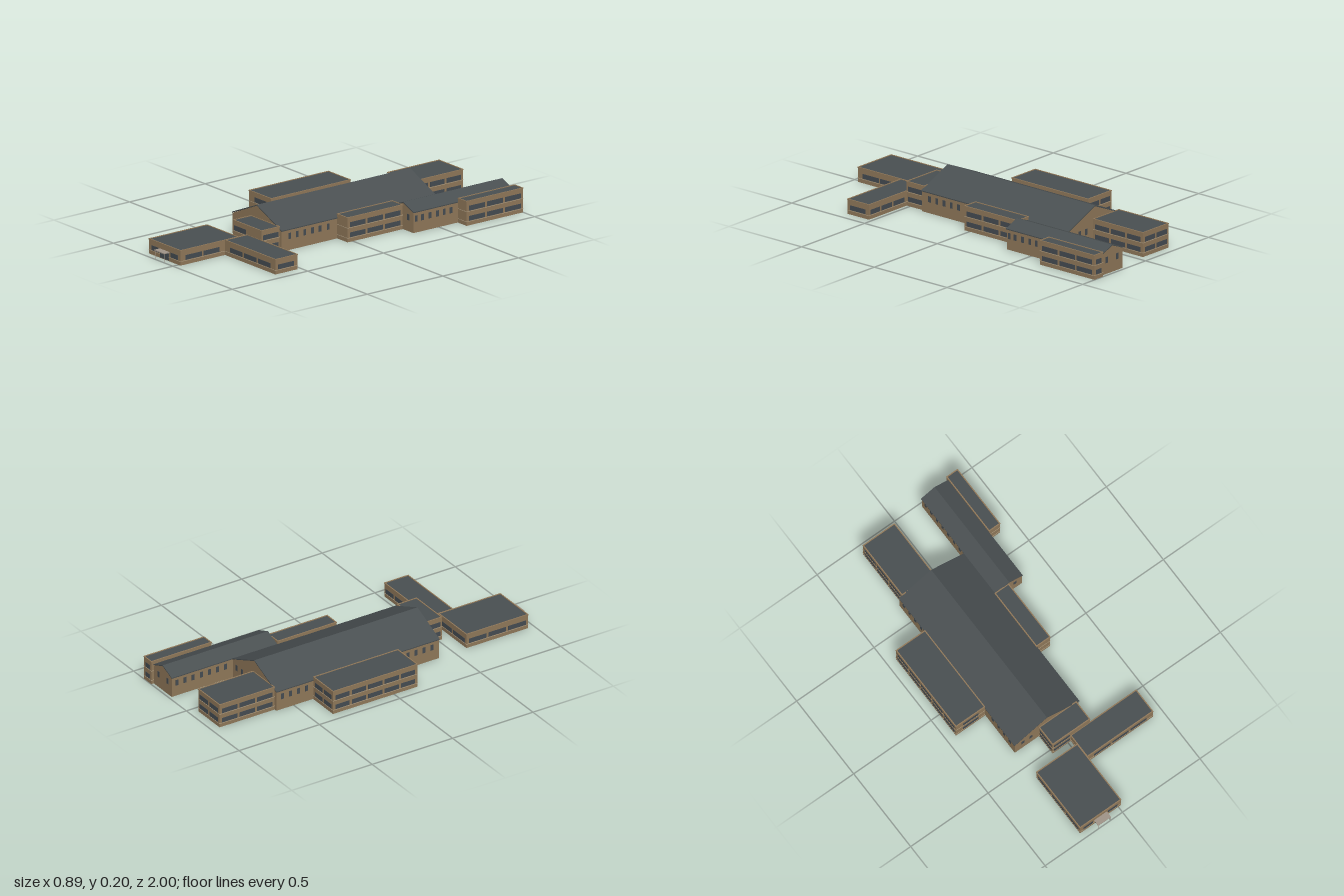
import * as THREE from 'three';

const mat = (name, color) => {
  const m = new THREE.MeshStandardMaterial({ color });
  m.name = name;
  return m;
};

export function createModel() {
  const brick = mat('tan brick', 0x927a5b);
  const slate = mat('slate roof', 0x4a5052);
  const glass = mat('window glass', 0x464d53);
  const trim = mat('pale trim', 0xb3a286);
  const canopyMat = mat('canopy', 0xa2968a);
  const model = new THREE.Group();
  const T = 0.004; // wall thickness

  const add = (parent, name, geo, material, x = 0, y = 0, z = 0) => {
    const mesh = new THREE.Mesh(geo, material);
    mesh.name = name;
    mesh.position.set(x, y, z);
    parent.add(mesh);
    return mesh;
  };
  const box = (parent, name, material, x0, x1, y0, y1, z0, z1) =>
    add(parent, name, new THREE.BoxGeometry(x1 - x0, y1 - y0, z1 - z0), material,
      (x0 + x1) / 2, (y0 + y1) / 2, (z0 + z1) / 2);
  const poly = (pts) => new THREE.Shape(pts.map(([x, y]) => new THREE.Vector2(x, y)));
  const rect = (x0, x1, z0, z1, d) =>
    [[x0 - d, -z1 - d], [x1 + d, -z1 - d], [x1 + d, -z0 + d], [x0 - d, -z0 + d]];

  // Rectangular ring, used for walls, sill bands and parapet caps
  const ring = (parent, name, material, [x0, x1, z0, z1], y, h, out = 0, width = T) => {
    const shape = poly(rect(x0, x1, z0, z1, out));
    shape.holes.push(poly(rect(x0, x1, z0, z1, out - width)));
    const geo = new THREE.ExtrudeGeometry(shape, { depth: h, bevelEnabled: false });
    geo.rotateX(-Math.PI / 2);
    return add(parent, name, geo, material, 0, y, 0);
  };

  // Thin panes on one side of a block: spans are [from, to] along the wall
  const panes = (parent, [x0, x1, z0, z1], side, spans, rows) => {
    const d = 0.0012;
    for (const [a, b] of spans) for (const [y0, y1] of rows) {
      if (side === 'n') box(parent, 'window', glass, a, b, y0, y1, z0 - d, z0 + d);
      if (side === 's') box(parent, 'window', glass, a, b, y0, y1, z1 - d, z1 + d);
      if (side === 'w') box(parent, 'window', glass, x0 - d, x0 + d, y0, y1, a, b);
      if (side === 'e') box(parent, 'window', glass, x1 - d, x1 + d, y0, y1, a, b);
    }
  };
  // n evenly spaced spans between two ends
  const even = (a, b, n, margin = 0.015, gap = 0.014) => {
    const w = (b - a - 2 * margin - (n - 1) * gap) / n;
    return Array.from({ length: n }, (_, i) => {
      const s = a + margin + i * (w + gap);
      return [s, s + w];
    });
  };
  const small = (centres) => centres.map((c) => [c - 0.009, c + 0.009]);

  const ground = [0.025, 0.051], upper = [0.08, 0.107];

  // Flat-roofed block with parapet, sill bands and windows per side
  const flatBlock = (name, area, h, windows) => {
    const g = new THREE.Group();
    g.name = name;
    model.add(g);
    const rows = h > 0.1 ? [ground, upper] : [ground];
    const [x0, x1, z0, z1] = area;
    ring(g, 'walls', brick, area, 0, h - 0.005);
    ring(g, 'parapetCap', brick, area, h - 0.005, 0.005, 0.002, 0.006);
    box(g, 'flatRoof', slate, x0 + T, x1 - T, h - 0.008, h - 0.003, z0 + T, z1 - T);
    for (const [y] of rows) ring(g, 'sillBand', trim, area, y - 0.004, 0.002, 0.0015, 0.003);
    for (const [side, spans] of Object.entries(windows)) panes(g, area, side, spans, rows);
    return g;
  };

  // Pitched-roof hall open underneath
  const gableBlock = (name, [x0, x1, z0, z1], eave, ridge, windows) => {
    const g = new THREE.Group();
    g.name = name;
    model.add(g);
    const lip = 0.004, mid = (x0 + x1) / 2, t = 0.005;
    const area = [x0 + lip, x1 - lip, z0 + 0.002, z1 - 0.002];
    ring(g, 'walls', brick, area, 0, eave - t);
    const gable = new THREE.ExtrudeGeometry(
      poly([[area[0], eave - t], [area[1], eave - t], [mid, ridge - t]]),
      { depth: T, bevelEnabled: false });
    add(g, 'backGable', gable, brick, 0, 0, area[2]);
    add(g, 'frontGable', gable, brick, 0, 0, area[3] - T);
    const roof = new THREE.ExtrudeGeometry(
      poly([[x0, eave - t], [mid, ridge - t], [x1, eave - t], [x1, eave], [mid, ridge], [x0, eave]]),
      { depth: z1 - z0, bevelEnabled: false });
    add(g, 'pitchedRoof', roof, slate, 0, 0, z0);
    for (const [side, centres] of Object.entries(windows))
      panes(g, area, side, small(centres), [[0.06, 0.093]]);
  };

  gableBlock('mainHall', [-0.26, 0.16, -0.61, 0.405], 0.115, 0.205, {
    e: [0.35, 0.3, 0.25, 0.2, 0.15, 0.095, -0.4, -0.46, -0.52, -0.57],
    w: [0.36, 0.31, 0.26, 0.21, -0.42, -0.47, -0.52, -0.57],
    s: [-0.203, -0.153],
    n: [0.02, 0.07, 0.12],
  });
  gableBlock('gabledWing', [0.16, 0.335, -0.985, -0.33], 0.115, 0.15, {
    e: [-0.35, -0.39, -0.44, -0.49, -0.535, -0.58],
    w: [-0.95, -0.9, -0.85, -0.8, -0.75, -0.7, -0.65],
    s: [0.287],
    n: [0.205, 0.29],
  });

  flatBlock('rightWing', [-0.446, -0.26, -0.38, 0.145], 0.135, {
    s: [[-0.4, -0.3]], n: even(-0.446, -0.26, 2), w: even(-0.38, 0.145, 5),
  });
  flatBlock('backWing', [-0.24, -0.037, -0.95, -0.608], 0.135, {
    n: even(-0.24, -0.037, 2), w: even(-0.95, -0.608, 3), e: even(-0.95, -0.608, 3),
  });
  flatBlock('leftBackBlock', [0.335, 0.405, -0.998, -0.625], 0.135, {
    e: even(-0.998, -0.625, 3), n: even(0.335, 0.405, 1),
  });
  flatBlock('leftBlock', [0.155, 0.243, -0.33, 0.035], 0.135, {
    e: even(-0.33, 0.035, 3),
  });
  flatBlock('linkBlock', [-0.1, 0.14, 0.403, 0.523], 0.135, {
    s: [[-0.09, 0.01]], e: even(0.403, 0.523, 1, 0.01), w: even(0.403, 0.523, 1, 0.01),
  });
  flatBlock('frontLeftWing', [0.017, 0.441, 0.521, 0.668], 0.083, {
    s: [[0.06, 0.165], [0.18, 0.282], [0.296, 0.4]],
    n: [[0.16, 0.245], [0.258, 0.34], [0.353, 0.43]], e: [[0.545, 0.65]],
  });
  const entrance = flatBlock('entranceBlock', [-0.247, 0.017, 0.58, 0.963], 0.083, {
    s: [[-0.225, -0.163], [-0.065, -0.005]],
    n: even(-0.247, 0.017, 2), w: even(0.58, 0.963, 3), e: [[0.705, 0.81], [0.82, 0.93]],
  });

  // Entrance doors and canopy on two slim posts
  box(entrance, 'doors', glass, -0.15, -0.08, 0.004, 0.043, 0.962, 0.9655);
  box(entrance, 'canopy', canopyMat, -0.157, -0.074, 0.046, 0.051, 0.963, 1);
  for (const x of [-0.153, -0.078])
    add(entrance, 'canopyPost', new THREE.CylinderGeometry(0.0018, 0.0018, 0.046, 8), canopyMat, x, 0.023, 0.996);

  return model;
}
